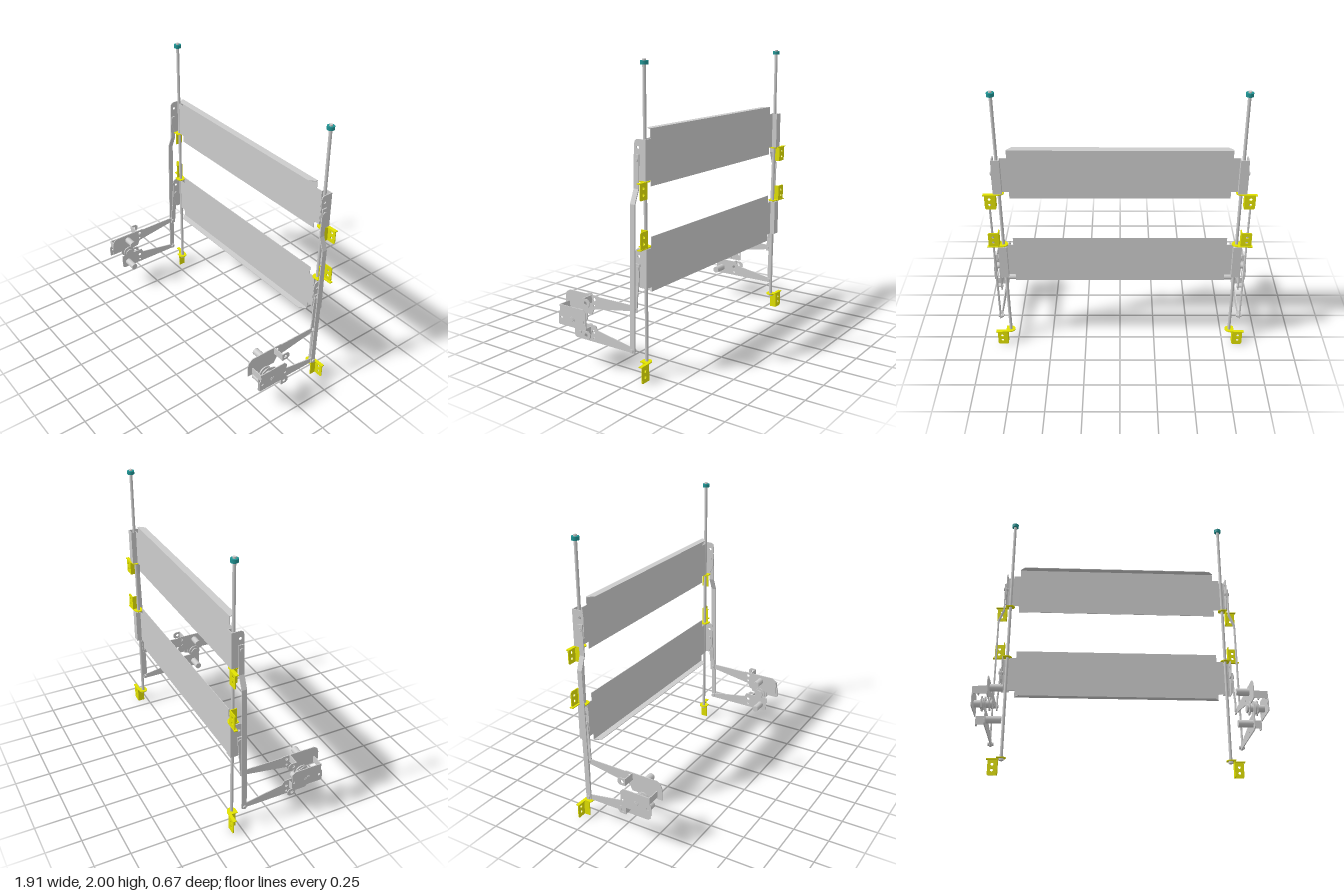
import * as THREE from 'three';

const grey = new THREE.MeshStandardMaterial({ color: 0xcccccc });
const yellow = new THREE.MeshStandardMaterial({ color: 0xe2e200 });
const teal = new THREE.MeshStandardMaterial({ color: 0x1f9494 });

// Mirrored copy across x = 0, with the winding turned round
function mirrorX(geo) {
  const g = geo.index ? geo.toNonIndexed() : geo.clone();
  g.scale(-1, 1, 1);
  for (const a of Object.values(g.attributes)) {
    const n = a.itemSize, d = a.array;
    for (let i = 0; i < a.count; i += 3) {
      for (let k = 0; k < n; k++) {
        const p = (i + 1) * n + k, q = (i + 2) * n + k, t = d[p];
        d[p] = d[q];
        d[q] = t;
      }
    }
  }
  return g;
}

// Closed shape from points, with round holes [u, v, radius]
function outline(points, holes = []) {
  const s = new THREE.Shape(points.map(([u, v]) => new THREE.Vector2(u, v)));
  for (const [u, v, r] of holes) s.holes.push(new THREE.Path().absarc(u, v, r, 0, Math.PI * 2, true));
  return s;
}

const extrude = (shape, depth) =>
  new THREE.ExtrudeGeometry(shape, { depth, bevelEnabled: false, curveSegments: 12 });

// Sheet in the z-y plane, centred on x
const sidePlate = (x, points, holes, t = 0.006) =>
  extrude(outline(points, holes), t).rotateY(-Math.PI / 2).translate(x + t / 2, 0, 0);

// Box from its minimum and maximum corners
const box = (x0, x1, y0, y1, z0, z1) =>
  new THREE.BoxGeometry(x1 - x0, y1 - y0, z1 - z0).translate((x0 + x1) / 2, (y0 + y1) / 2, (z0 + z1) / 2);

// Cylinder along x
const pin = (x0, x1, y, z, r, n = 20) =>
  new THREE.CylinderGeometry(r, r, x1 - x0, n).rotateZ(Math.PI / 2).translate((x0 + x1) / 2, y, z);

// Cylinder along y
const post = (x, z, y0, y1, r, n = 16) =>
  new THREE.CylinderGeometry(r, r, y1 - y0, n).translate(x, (y0 + y1) / 2, z);

// Flat link following an x-y path from top to bottom, leaning in z from zTop to zBottom
function link(path, zTop, zBottom, width, t = 0.008) {
  const back = path.map(([x, y]) => [x + t, y]).reverse();
  const g = extrude(outline([...path, ...back]), width);
  const p = g.attributes.position;
  const top = path[0][1], bottom = path[path.length - 1][1];
  for (let i = 0; i < p.count; i++) {
    const k = (top - p.getY(i)) / (top - bottom);
    p.setZ(i, p.getZ(i) - width / 2 + zTop + (zBottom - zTop) * k);
  }
  g.computeVertexNormals();
  return g;
}

export function createModel() {
  const model = new THREE.Group();
  const add = (name, geo, mat = grey, parent = model) => {
    const m = new THREE.Mesh(geo, mat);
    m.name = name;
    parent.add(m);
  };
  const pair = (name, geo, mat = grey) => {
    const g = new THREE.Group();
    g.name = name + 'Pair';
    add(name + 'Left', geo, mat, g);
    add(name + 'Right', mirrorX(geo), mat, g);
    model.add(g);
  };
  const RX = 0.795, RZ = -0.29;

  // Guide rods with end nuts
  pair('guideRod', post(RX, RZ, 0.1, 2, 0.011));
  pair('rodCap', post(RX, RZ, 1.966, 1.99, 0.025, 24), teal);
  pair('rodCollar', post(RX, RZ, 0.1, 0.115, 0.018, 6));

  // Two panels; the upper flange is on top, the lower one underneath
  for (const [name, y0, flangeY] of [['upper', 1.23, 1.583], ['lower', 0.558, 0.56]]) {
    const y1 = y0 + 0.355;
    const t0 = y0 + 0.05, t1 = y1 - 0.055;
    const w = 0.73, e = 0.775;
    add(name + 'Panel', extrude(outline([
      [-w, y0], [w, y0], [w, t0], [e, t0], [e, t1], [w, t1],
      [w, y1], [-w, y1], [-w, t1], [-e, t1], [-e, t0], [-w, t0]]), 0.004).translate(0, 0, -0.284));
    add(name + 'PanelFlange', extrude(outline([
      [-w, 0.282], [-w, 0.272], [-0.698, 0.236], [0.698, 0.236], [w, 0.272], [w, 0.282]]), 0.004)
      .rotateX(-Math.PI / 2).translate(0, flangeY - 0.002, 0));

    // Channel round the rod, with an ear for the link
    pair(name + 'SlideBack', box(0.773, 0.828, t0, t1, -0.32, -0.315));
    pair(name + 'SlideInner', box(0.773, 0.778, t0, t1, -0.32, -0.28));
    pair(name + 'SlideEar', sidePlate(0.826, [
      [-0.32, t0], [-0.265, t0], [-0.236, t0 + 0.07], [-0.235, t1 - 0.03],
      [-0.24, t1 - 0.01], [-0.255, t1], [-0.32, t1]], [[-0.262, t1 - 0.05, 0.01]]));
    pair(name + 'LinkBolt', pin(0.815, 0.847, t0 + 0.125, -0.258, 0.013, 12));
  }

  // Links from the slides down to the arms
  pair('longLink', link([[0.832, 1.44], [0.832, 1.23], [0.868, 1.14], [0.868, 0.185]], -0.258, -0.237, 0.036));
  pair('shortLink', link([[0.832, 0.76], [0.832, 0.62], [0.838, 0.55], [0.838, 0.445]], -0.258, -0.236, 0.034));
  pair('longLinkPin', pin(0.848, 0.886, 0.2, -0.236, 0.012, 12));
  pair('shortLinkPin', pin(0.832, 0.866, 0.47, -0.234, 0.012, 12));

  // Wall brackets: [plate bottom, plate top, flange height]
  for (const [name, y0, y1, fy] of [
    ['top', 1.17, 1.278, 1.275], ['middle', 0.868, 0.978, 0.868], ['bottom', 0.005, 0.12, 0.118]]) {
    const mid = (y0 + y1) / 2;
    const c = 0.008;
    const plate = outline([
      [0.82, y0], [0.89 - c, y0], [0.89, y0 + c], [0.89, y1 - c], [0.89 - c, y1], [0.82, y1]],
    [[0.858, mid + 0.02, 0.01], [0.858, mid - 0.021, 0.01]]);
    pair(name + 'BracketPlate', extrude(plate, 0.006).translate(0, 0, -0.325), yellow);
    pair(name + 'BracketReturn', box(0.818, 0.824, y0, y1, -0.325, -0.275), yellow);
    const flange = new THREE.Shape();
    flange.moveTo(0.9, 0.33);
    flange.lineTo(RX, 0.325);
    flange.absarc(RX, -RZ, 0.032, Math.PI / 2, Math.PI * 1.5, false);
    flange.lineTo(0.828, 0.26);
    flange.lineTo(0.828, 0.305);
    flange.lineTo(0.9, 0.305);
    pair(name + 'BracketFlange', extrude(flange, 0.006).rotateX(-Math.PI / 2).translate(0, fy - 0.003, 0), yellow);
  }

  // Upper and lower arms, with bent tabs
  pair('upperArm', sidePlate(0.85, [
    [0.335, 0.36], [0.335, 0.445], [0.325, 0.475], [0.298, 0.493], [0.06, 0.493], [0.05, 0.488],
    [-0.215, 0.49], [-0.226, 0.48], [-0.226, 0.46], [-0.215, 0.452], [0.045, 0.408], [0.09, 0.4], [0.11, 0.36]],
  [[0.088, 0.466, 0.012], [0.088, 0.422, 0.008]]));
  pair('lowerArm', sidePlate(0.863, [
    [0.25, 0.295], [0.07, 0.295], [0.055, 0.265], [-0.225, 0.218], [-0.25, 0.21],
    [-0.255, 0.195], [-0.245, 0.182], [0.235, 0.182], [0.25, 0.195]],
  [[0.088, 0.25, 0.012], [0.088, 0.205, 0.008]]));
  pair('upperArmTab', box(0.852, 0.935, 0.442, 0.493, 0.108, 0.114));
  pair('lowerArmTab', box(0.862, 0.935, 0.228, 0.282, 0.108, 0.114));
  for (const [name, y] of [['upper', 0.466], ['lower', 0.25]]) {
    pair(name + 'ArmEar', sidePlate(0.935, [
      [0.114, y - 0.026], [0.114, y + 0.027], [0.07, y + 0.027], [0.054, y + 0.012],
      [0.054, y - 0.012], [0.07, y - 0.026]], [[0.088, y, 0.012]]));
  }

  // Outer pivot plate with its front flange
  pair('pivotPlate', sidePlate(0.945, [
    [0.312, 0.29], [0.312, 0.36], [0.3, 0.375], [0.3, 0.42], [0.1, 0.42],
    [0.08, 0.4], [0.08, 0.29], [0.09, 0.284], [0.305, 0.284]],
  [[0.288, 0.335, 0.009], [0.094, 0.335, 0.009]]));
  pair('pivotPlateFlange', box(0.855, 0.947, 0.372, 0.42, 0.296, 0.302));

  // Pivot shaft with stacked discs and hex nut
  pair('pivotShaft', pin(0.825, 0.95, 0.335, 0.2, 0.024));
  pair('pivotNut', pin(0.94, 0.953, 0.335, 0.2, 0.018, 6));
  [[0.828, 0.03], [0.842, 0.045], [0.87, 0.05], [0.884, 0.04], [0.898, 0.032]].forEach(([x, r], i) =>
    pair('pivotDisc' + (i + 1), pin(x - 0.004, x + 0.004, 0.335, 0.2, r, 24)));
  pair('pivotLever', sidePlate(0.892, [
    [0.24, 0.3], [0.24, 0.37], [0.2, 0.39], [0.13, 0.365], [0.13, 0.31], [0.2, 0.285]]));

  // Rollers on the inner side of the arms
  pair('upperRoller', pin(0.763, 0.85, 0.447, 0.2, 0.024));
  pair('lowerRoller', pin(0.763, 0.862, 0.23, 0.2, 0.024));
  pair('lowerRollerBolt', pin(0.862, 0.874, 0.228, 0.2, 0.01, 12));

  return model;
}
